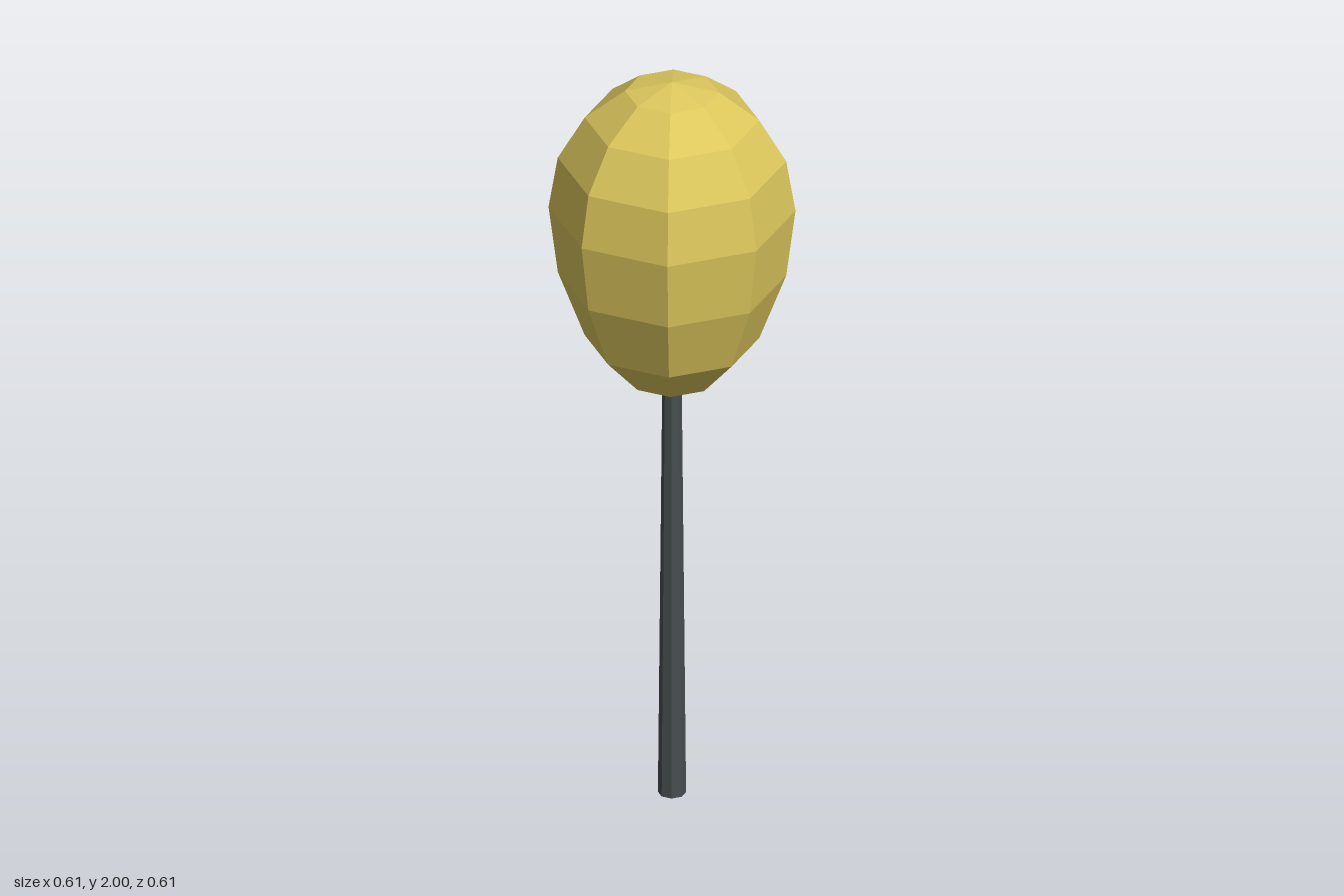
import * as THREE from 'three';

export function createModel() {
  const group = new THREE.Group();

  // Faceted egg-shaped crown: radius and height of each ring, bottom to top
  const rings = [
    [0, 1.153], [0.117, 1.175], [0.217, 1.283], [0.284, 1.46], [0.307, 1.643],
    [0.284, 1.782], [0.217, 1.896], [0.117, 1.973], [0, 2],
  ].map(([r, y]) => new THREE.Vector2(r, y));
  const crown = new THREE.Mesh(
    new THREE.LatheGeometry(rings, 8),
    new THREE.MeshStandardMaterial({ color: 0xdcc75c, flatShading: true })
  );
  crown.name = 'crown';
  group.add(crown);

  // Slim tapered trunk reaching just inside the crown
  const height = 1.18;
  const trunk = new THREE.Mesh(
    new THREE.CylinderGeometry(0.024, 0.035, height, 8),
    new THREE.MeshStandardMaterial({ color: 0x484e50, flatShading: true })
  );
  trunk.name = 'trunk';
  trunk.position.y = height / 2;
  group.add(trunk);

  return group;
}
